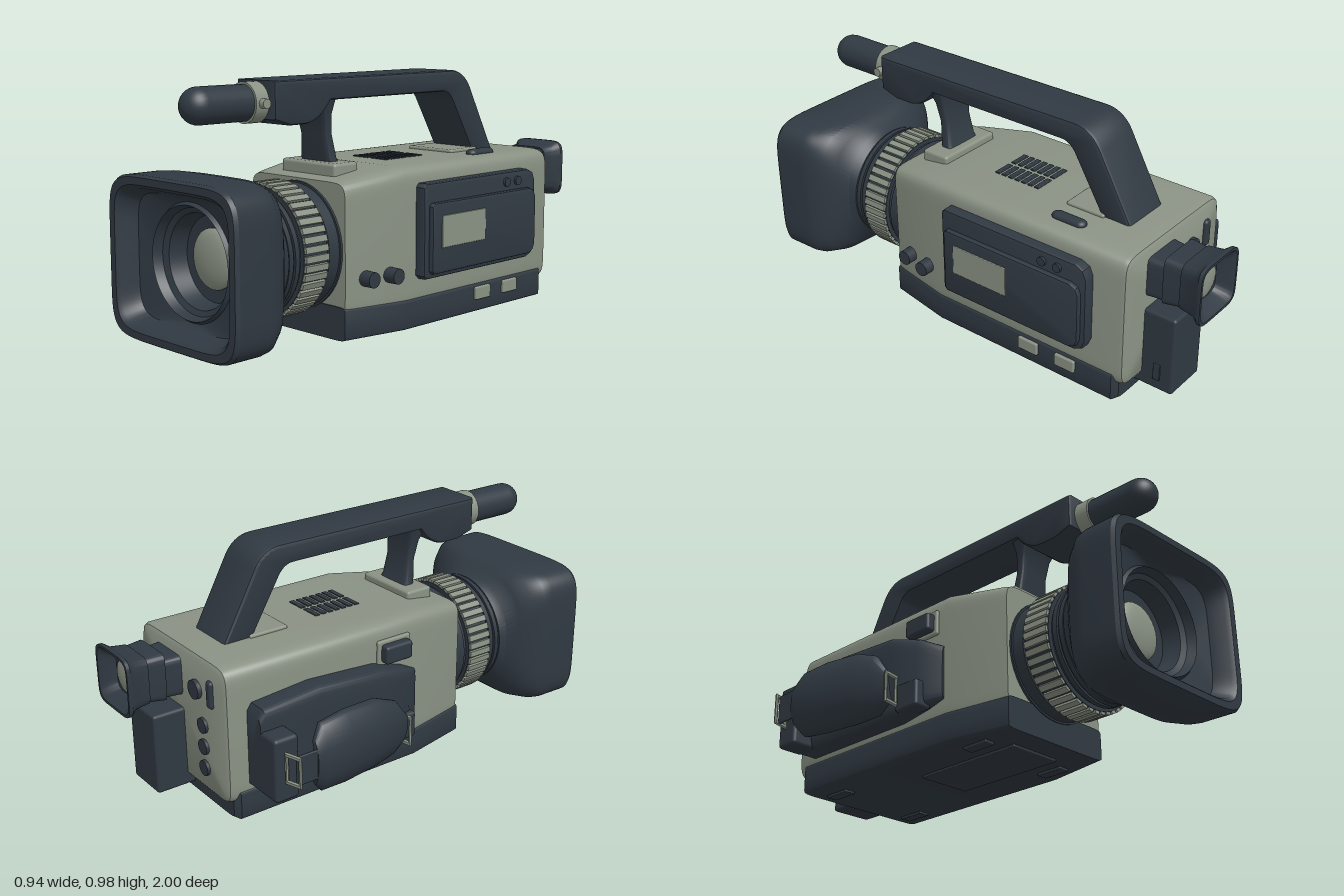
import * as THREE from 'three';
import { toCreasedNormals } from 'three/addons/utils/BufferGeometryUtils.js';
import { RoundedBoxGeometry } from 'three/addons/geometries/RoundedBoxGeometry.js';

const mat = (name, color) => {
  const m = new THREE.MeshStandardMaterial({ color });
  m.name = name;
  return m;
};

// Skin over superellipse sections [z, centreX, centreY, halfWidth, halfHeight, exponent], capped at both ends
function loft(sections, n = 64, crease = 0.6) {
  const pos = [], idx = [];
  const pw = (v, e) => Math.sign(v) * Math.pow(Math.abs(v) < 1e-9 ? 0 : Math.abs(v), 2 / e);
  for (const [z, cx, cy, hw, hh, e] of sections)
    for (let j = 0; j < n; j++) {
      const a = (j / n) * Math.PI * 2;
      pos.push(cx + hw * pw(Math.cos(a), e), cy + hh * pw(Math.sin(a), e), z);
    }
  const last = sections.length - 1, c0 = pos.length / 3;
  for (const s of [sections[0], sections[last]]) pos.push(s[1], s[2], s[0]);
  for (let j = 0; j < n; j++) {
    const k = (j + 1) % n;
    for (let i = 0; i < last; i++) {
      const a = i * n + j, b = i * n + k;
      idx.push(a, b, b + n, a, b + n, a + n);
    }
    idx.push(c0, k, j, c0 + 1, last * n + j, last * n + k);
  }
  const g = new THREE.BufferGeometry();
  g.setAttribute('position', new THREE.Float32BufferAttribute(pos, 3));
  g.setIndex(idx);
  return toCreasedNormals(g, crease);
}

// Side profile drawn in (z, y), extruded across x0..x1
function sideExtrude(shape, x0, x1, bevel) {
  const depth = x1 - x0 - 2 * bevel;
  const g = new THREE.ExtrudeGeometry(shape, {
    depth, bevelEnabled: true, bevelSize: bevel, bevelThickness: bevel, bevelOffset: -bevel,
    bevelSegments: 2, curveSegments: 10,
  });
  g.translate(0, 0, -depth / 2).rotateY(-Math.PI / 2).translate((x0 + x1) / 2, 0, 0);
  return toCreasedNormals(g, 0.5);
}

const polygon = (pts) => new THREE.Shape(pts.map((p) => new THREE.Vector2(...p)));

export function createModel() {
  const root = new THREE.Group();
  root.name = 'camcorder';
  const dark = mat('charcoal plastic', 0x303942);
  const light = mat('grey green plastic', 0x8a9284);

  const add = (name, geo, m) => {
    const mesh = new THREE.Mesh(geo, m);
    mesh.name = name;
    root.add(mesh);
    return mesh;
  };
  // Rounded box given by its limits
  const box = (name, m, x0, x1, y0, y1, z0, z1, r = 0.008) =>
    add(name, new RoundedBoxGeometry(x1 - x0, y1 - y0, z1 - z0, 2, r)
      .translate((x0 + x1) / 2, (y0 + y1) / 2, (z0 + z1) / 2), m);
  // Cylinder along 'x', 'y' or 'z'
  const disc = (name, m, axis, r, len, x, y, z, seg = 24) => {
    const g = new THREE.CylinderGeometry(r, r, len, seg);
    if (axis === 'x') g.rotateZ(-Math.PI / 2);
    if (axis === 'z') g.rotateX(Math.PI / 2);
    return add(name, g.translate(x, y, z), m);
  };

  // Body shell and darker base, both narrowing to the front
  add('bodyShell', loft([
    [-0.76, 0.09, 0.36, 0.29, 0.26, 12], [-0.75, 0.09, 0.36, 0.305, 0.275, 12],
    [-0.735, 0.09, 0.36, 0.31, 0.28, 12], [0.13, 0.09, 0.36, 0.31, 0.28, 12],
    [0.37, 0.093, 0.345, 0.265, 0.262, 12], [0.4, 0.093, 0.345, 0.258, 0.255, 12],
  ]), light);
  add('base', loft([
    [-0.73, 0.09, 0.075, 0.29, 0.055, 14], [-0.71, 0.09, 0.073, 0.313, 0.063, 14],
    [0.13, 0.09, 0.073, 0.313, 0.063, 14], [0.405, 0.093, 0.075, 0.262, 0.064, 14],
  ]), dark);
  box('bottomPlate', dark, -0.03, 0.21, 0, 0.02, -0.2, 0.3, 0.004);
  for (const x of [-0.115, 0.3]) for (const z of [-0.6, 0.2])
    box('foot', dark, x - 0.025, x + 0.025, 0, 0.02, z - 0.06, z + 0.06, 0.004);

  // Lens barrel, bands and ribbed ring
  const lx = 0.093, ly = 0.345;
  disc('lensMount', dark, 'z', 0.245, 0.012, lx, ly, 0.403, 48);
  disc('lensBarrel', dark, 'z', 0.228, 0.4, lx, ly, 0.56, 48);
  for (const [z, len, r] of [[0.435, 0.05, 0.238], [0.535, 0.115, 0.246], [0.615, 0.02, 0.238], [0.645, 0.02, 0.238]])
    disc('lensBand', dark, 'z', r, len, lx, ly, z, 48);
  const ribs = 46;
  for (let i = 0; i < ribs; i++) {
    const rib = add('focusRingRib', new THREE.BoxGeometry(0.02, 0.024, 0.11), light);
    const a = (i / ribs) * Math.PI * 2;
    rib.position.set(lx + 0.247 * Math.cos(a), ly + 0.247 * Math.sin(a), 0.535);
    rib.rotation.z = a;
  }

  // Lens hood: round at the back, nearly rectangular at the rim, hollow inside
  add('lensHood', loft([
    [0.66, 0.24, 0.237, 2], [0.69, 0.25, 0.245, 2.3], [0.725, 0.29, 0.272, 3.2], [0.76, 0.325, 0.296, 4.5],
    [0.81, 0.352, 0.303, 6], [0.85, 0.358, 0.305, 6.5], [0.985, 0.362, 0.305, 6.5], [1.0, 0.354, 0.297, 6.5],
    [1.0, 0.325, 0.27, 6.5], [0.985, 0.312, 0.257, 6.5], [0.92, 0.29, 0.235, 6],
    [0.9, 0.225, 0.217, 2], [0.915, 0.215, 0.207, 2], [0.88, 0.2, 0.195, 2],
    [0.87, 0.175, 0.175, 2], [0.8, 0.16, 0.16, 2], [0.795, 0.11, 0.11, 2],
  ].map(([z, w, h, e]) => [z, lx, ly, w, h, e]), 80, 0.5), dark);
  add('lensGlass', new THREE.SphereGeometry(0.113, 32, 16).scale(1, 1, 0.3).translate(lx, ly, 0.802), light);

  // Carrying handle with sloping rear leg
  const h = new THREE.Shape();
  h.moveTo(0.6, 0.975);
  h.lineTo(-0.37, 0.978);
  h.quadraticCurveTo(-0.45, 0.975, -0.49, 0.9);
  h.lineTo(-0.635, 0.63);
  h.lineTo(-0.505, 0.63);
  h.lineTo(-0.375, 0.85);
  h.quadraticCurveTo(-0.35, 0.892, -0.31, 0.892);
  h.lineTo(0.32, 0.892);
  h.quadraticCurveTo(0.37, 0.82, 0.44, 0.81);
  h.lineTo(0.52, 0.81);
  h.lineTo(0.6, 0.835);
  add('handle', sideExtrude(h, -0.015, 0.2, 0.015), dark);
  add('handleFrontPost', loft([
    [0.64, 0.085, 0.028, 6], [0.67, 0.08, 0.024, 6], [0.76, 0.07, 0.02, 6], [0.84, 0.08, 0.025, 6], [0.91, 0.1, 0.05, 6],
  ].map(([y, w, d, e], i) => [y, lx, -0.275 - i * 0.012, w, d, e]), 40).rotateX(-Math.PI / 2), dark);
  box('handleFrontFoot', light, -0.055, 0.24, 0.59, 0.657, 0.22, 0.345, 0.012);
  box('handleRearFoot', light, -0.025, 0.21, 0.62, 0.652, -0.52, -0.35);

  // Microphone
  add('microphone', new THREE.CapsuleGeometry(0.068, 0.24, 10, 28).rotateX(Math.PI / 2).translate(lx, 0.895, 0.743), dark);
  disc('microphoneRing', light, 'z', 0.076, 0.06, lx, 0.895, 0.63, 32);
  disc('microphoneScrew', light, 'x', 0.018, 0.04, 0.172, 0.895, 0.63, 16);

  // Top vents and switch
  for (const x of [0.045, 0.145]) for (let i = 0; i < 7; i++)
    box('vent', dark, x - 0.042, x + 0.042, 0.638, 0.645, -0.2 + i * 0.032, -0.178 + i * 0.032, 0.003);
  const sw = new THREE.CapsuleGeometry(0.025, 0.1, 6, 16).rotateX(Math.PI / 2).scale(1, 0.7, 1);
  add('topSwitch', sw.translate(0.297, 0.643, -0.43), dark);

  // Screen panel on the left side
  const panel = (z0, z1, y0, y1, c) => polygon([
    [z0, y0 + c * 0.3], [z0, y1 - c * 0.3], [z0 - c * 0.3, y1], [z1 + c, y1], [z1 + c * 0.3, y1 - c * 0.3], [z1, y1 - c],
    [z1, y0 + c], [z1 + c * 0.3, y0 + c * 0.3], [z1 + c, y0], [z0 - c * 0.3, y0]]);
  add('screenPanel', sideExtrude(panel(0.07, -0.615, 0.205, 0.575, 0.05), 0.38, 0.445, 0.012), dark);
  add('screenPanelRaised', sideExtrude(panel(0.045, -0.595, 0.225, 0.5, 0.04), 0.43, 0.466, 0.01), dark);
  box('screenWindow', light, 0.462, 0.47, 0.325, 0.45, -0.265, -0.005, 0.003);
  for (const z of [-0.42, -0.49]) disc('panelButton', dark, 'x', 0.018, 0.012, 0.449, 0.535, z, 16);
  for (const z of [-0.325, -0.5]) box('sideLatch', light, 0.39, 0.415, 0.065, 0.118, z - 0.046, z + 0.046, 0.006);
  for (const [z, x] of [[0.31, 0.385], [0.2, 0.405]]) disc('sideKnob', dark, 'x', 0.03, 0.06, x, 0.24, z);

  // Viewfinder with hollow eyecup
  const vx = 0.18;
  add('viewfinderNeck', loft([
    [-0.91, vx, 0.525, 0.09, 0.09, 8], [-0.83, vx, 0.522, 0.1, 0.098, 8],
    [-0.825, vx, 0.51, 0.088, 0.08, 8], [-0.7, vx, 0.51, 0.1, 0.085, 8],
  ], 48), dark);
  add('eyecup', loft([
    [-0.94, 0.08, 0.075, 5], [-0.985, 0.1, 0.095, 6], [-1.0, 0.115, 0.11, 6],
    [-1.0, 0.125, 0.12, 6], [-0.985, 0.125, 0.12, 6], [-0.96, 0.108, 0.103, 6], [-0.9, 0.1, 0.097, 6],
  ].map(([z, w, d, e]) => [z, vx, 0.525, w, d, e]), 48), dark);
  add('eyepieceGlass', new THREE.SphereGeometry(0.072, 24, 12).scale(1, 0.95, 0.25).translate(vx, 0.525, -0.94), light);

  // Battery and rear sockets
  box('battery', dark, 0.085, 0.275, 0.045, 0.378, -0.893, -0.72, 0.012);
  box('batteryLatch', dark, 0.272, 0.28, 0.09, 0.16, -0.84, -0.81, 0.003);
  disc('rearKnob', dark, 'z', 0.038, 0.03, -0.02, 0.5, -0.762);
  box('rearSlider', dark, -0.14, -0.105, 0.46, 0.57, -0.775, -0.74, 0.012);
  for (const y of [0.365, 0.275, 0.185]) disc('rearSocket', dark, 'z', 0.031, 0.02, -0.06, y, -0.762);

  // Hand grip on the right side
  add('grip', loft([
    [-0.67, -0.25, 0.31, 0.06, 0.15, 8], [-0.65, -0.25, 0.32, 0.063, 0.17, 8],
    [-0.4, -0.25, 0.33, 0.063, 0.18, 7], [-0.1, -0.25, 0.32, 0.062, 0.17, 7],
    [0.04, -0.23, 0.31, 0.058, 0.14, 6], [0.12, -0.2, 0.3, 0.03, 0.11, 6],
  ], 48), dark);
  box('gripRearFlange', dark, -0.4, -0.28, 0.15, 0.41, -0.67, -0.565, 0.015);
  box('gripFrontLug', dark, -0.31, -0.23, 0.16, 0.27, -0.06, 0.06, 0.012);
  box('sideButtonFrame', light, -0.232, -0.2, 0.47, 0.575, -0.07, 0.09);
  box('sideButton', dark, -0.268, -0.2, 0.485, 0.56, -0.055, 0.075, 0.012);

  // Padded strap, bowed inwards at its upper and lower edges
  const strap = loft([
    [-0.52, -0.445, 0.29, 0.014, 0.09, 4], [-0.48, -0.448, 0.29, 0.022, 0.14, 4], [-0.36, -0.44, 0.29, 0.025, 0.15, 4],
    [-0.2, -0.415, 0.285, 0.025, 0.145, 4], [-0.1, -0.392, 0.27, 0.022, 0.12, 4], [-0.04, -0.37, 0.25, 0.012, 0.06, 4],
  ], 40, 0.9);
  const sp = strap.attributes.position;
  for (let i = 0; i < sp.count; i++) sp.setX(i, sp.getX(i) + 0.05 * ((sp.getY(i) - 0.29) / 0.15) ** 2);
  strap.computeVertexNormals();
  add('strapPad', toCreasedNormals(strap, 0.9), dark);
  box('strapRearWeb', dark, -0.452, -0.44, 0.23, 0.35, -0.61, -0.5, 0.004);
  const buckle = (x, y, z, turn) => {
    const g = new THREE.TorusGeometry(0.044, 0.008, 6, 4).rotateZ(Math.PI / 4).scale(1, 1.8, 1);
    const b = add('strapBuckle', toCreasedNormals(g, 0.4), light);
    b.position.set(x, y, z);
    b.rotation.y = turn;
  };
  buckle(-0.352, 0.24, -0.035, 0.2);
  buckle(-0.435, 0.29, -0.615, 0.3);
  return root;
}
